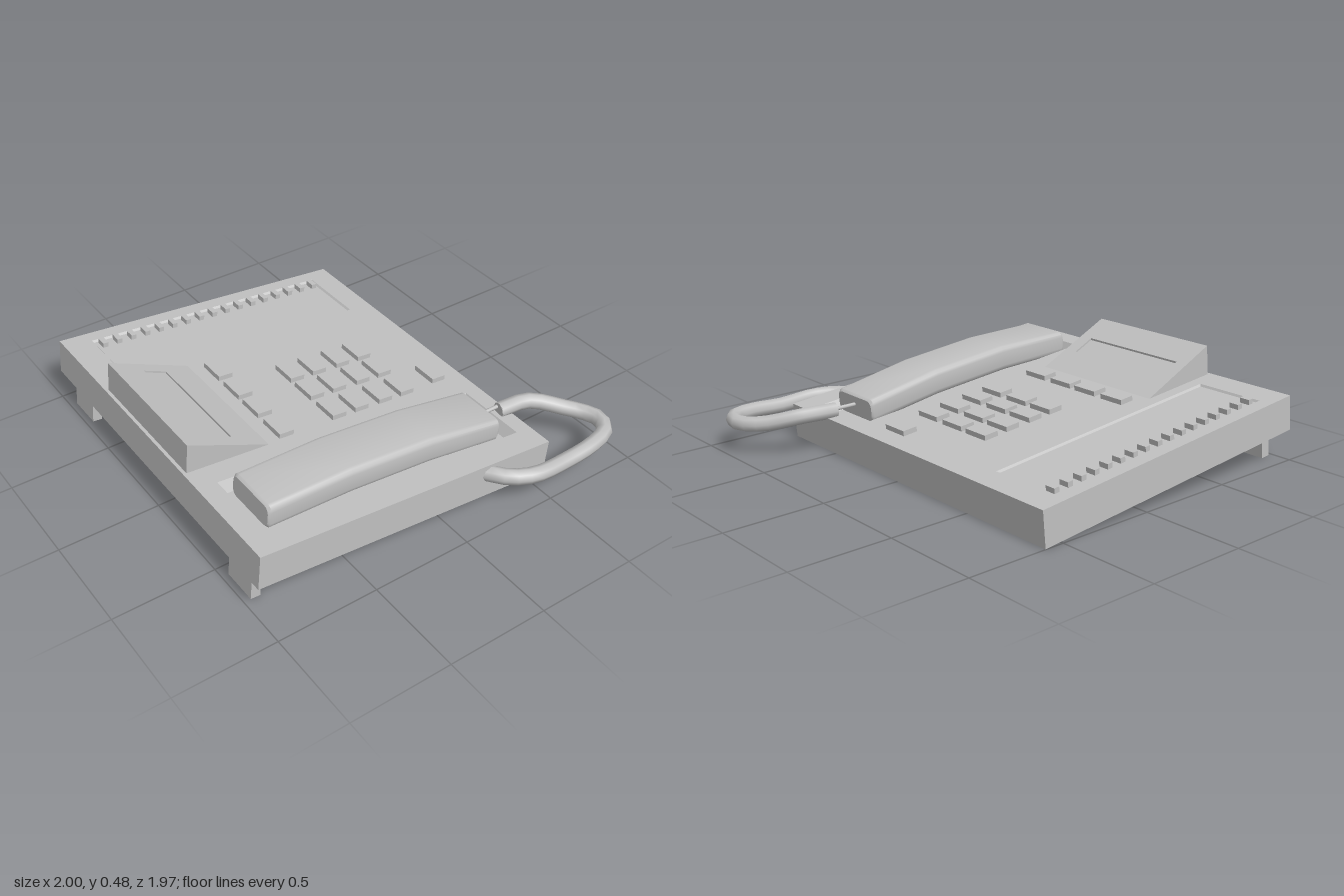
import * as THREE from 'three';
import { toCreasedNormals } from 'three/addons/utils/BufferGeometryUtils.js';

const TILT = 0.0975;   // the desk set leans up toward the front
const TOP = 0.175;     // thickness of the body
const LENGTH = 1.593;

// Skin a list of equal-sized rings of [x, y, z] points, with optional end caps
function loft(rings, capStart, capEnd, crease = 0.3) {
  const n = rings[0].length, index = [];
  for (let i = 0; i < rings.length - 1; i++) {
    for (let j = 0; j < n; j++) {
      const a = i * n + j, b = i * n + (j + 1) % n;
      index.push(a, b, b + n, a, b + n, a + n);
    }
  }
  const last = (rings.length - 1) * n;
  for (let j = 1; j < n - 1; j++) {
    if (capStart) index.push(0, j + 1, j);
    if (capEnd) index.push(last, last + j, last + j + 1);
  }
  const geo = new THREE.BufferGeometry();
  geo.setAttribute('position', new THREE.Float32BufferAttribute(rings.flat(2), 3));
  geo.setIndex(index);
  return toCreasedNormals(geo, crease);
}

// Rectangle ring; yBack and yFront may differ to make it slope
const rect = (x0, x1, z0, z1, yBack, yFront = yBack) =>
  [[x0, yFront, z1], [x1, yFront, z1], [x1, yBack, z0], [x0, yBack, z0]];

// Local depth of a point on the tilted top surface
const depthAt = (z) => (z + 0.615) / 0.995;

export function createModel() {
  const model = new THREE.Group();
  const grey = new THREE.MeshStandardMaterial({ color: 0xc0c0c0 });
  grey.name = 'plastic grey';

  const desk = new THREE.Group();
  desk.name = 'tiltedSet';
  desk.position.z = -0.598;
  desk.rotation.x = -TILT;
  model.add(desk);

  const add = (parent, name, geo, x = 0, y = 0, z = 0) => {
    const mesh = new THREE.Mesh(geo, grey);
    mesh.name = name;
    mesh.position.set(x, y, z);
    parent.add(mesh);
    return mesh;
  };

  // Body: a lower slab and an upper rim with openings for the two recesses
  const cradle = [0.34, 0.71, depthAt(-0.53), depthAt(0.87)];
  const panel = [-0.93, -0.57, depthAt(-0.49), depthAt(0.83)];
  const low = 0.118;
  add(desk, 'bodyBase', new THREE.BoxGeometry(1.84, low, LENGTH), -0.08, low / 2, LENGTH / 2);

  const outline = (path, x0, x1, z0, z1) => {
    path.moveTo(x0, -z0);
    path.lineTo(x1, -z0);
    path.lineTo(x1, -z1);
    path.lineTo(x0, -z1);
    path.closePath();
    return path;
  };
  const rim = outline(new THREE.Shape(), -1, 0.84, 0, LENGTH);
  rim.holes.push(outline(new THREE.Path(), ...cradle), outline(new THREE.Path(), ...panel));
  const rimGeo = new THREE.ExtrudeGeometry(rim, { depth: TOP - low, bevelEnabled: false });
  rimGeo.rotateX(-Math.PI / 2);
  add(desk, 'bodyTop', rimGeo, 0, low, 0);

  // Recesses with sloping walls
  const recess = (name, [x0, x1, z0, z1], inset, depth) => add(desk, name, loft([
    rect(x0, x1, z0, z1, TOP),
    rect(x0 + inset, x1 - inset, z0 + inset, z1 - inset, TOP - depth),
  ], false, true));
  recess('handsetCradle', cradle, 0.032, 0.05);
  recess('linePanel', panel, 0.008, 0.01);

  // Front feet
  for (const x of [-0.81, 0.65]) {
    add(desk, 'frontFoot', new THREE.BoxGeometry(0.18, 0.16, 0.048), x, -0.069, 1.535);
  }

  // Display wedge with a sunken screen on its slope
  const z0 = depthAt(0.53), z1 = 1.576, rise = 0.15;
  const slope = (z) => TOP + rise * (z - z0) / (z1 - z0);
  const s0 = 1.307, s1 = 1.423, sink = 0.01;
  add(desk, 'displayWedge', loft([
    rect(-0.51, 0.22, z0, z1, TOP - 0.005),
    rect(-0.51, 0.22, z0, z1, slope(z0), slope(z1)),
    rect(-0.445, 0.15, s0, s1, slope(s0), slope(s1)),
    rect(-0.445, 0.15, s0, s1, slope(s0) - sink, slope(s1) - sink),
  ], false, true, 0.1));

  // Keys
  const key = new THREE.BoxGeometry(0.138, 0.03, 0.077);
  const addKey = (name, x, z) => add(desk, name, key, x, TOP + 0.01, depthAt(z));
  const columns = [-0.212, -0.042, 0.14];
  for (const z of [-0.267, -0.137, 0.003, 0.132]) {
    for (const x of columns) addKey('keypadKey', x, z);
  }
  for (const x of [-0.392, ...columns]) addKey('functionKey', x, 0.427);
  addKey('hookKey', 0.126, -0.473);

  const lineKey = new THREE.BoxGeometry(0.052, 0.03, 0.028);
  for (let i = 0; i < 17; i++) {
    add(desk, 'lineKey', lineKey, -0.885, TOP, depthAt(-0.455 + i * 0.0778));
  }

  // Handset: rounded section swept along a shallow arch
  const section = (z, top, bottom, halfWidth, r) => {
    const ring = [];
    const h = (top - bottom) / 2, mid = (top + bottom) / 2;
    [[1, 1], [-1, 1], [-1, -1], [1, -1]].forEach(([sx, sy], q) => {
      for (let k = 0; k <= 3; k++) {
        const a = (q + k / 3) * Math.PI / 2;
        ring.push([sx * (halfWidth - r) + r * Math.cos(a), mid + sy * (h - r) + r * Math.sin(a), z]);
      }
    });
    return ring;
  };
  const h0 = 0.165, h1 = 1.448;
  const stations = [
    [h0, 0.24, 0.14, 0.136], [h0 + 0.012, 0.25, 0.13, 0.143],
    [0.58, 0.285, 0.155, 0.143], [1.02, 0.286, 0.155, 0.143],
    [h1 - 0.012, 0.252, 0.13, 0.143], [h1, 0.242, 0.14, 0.136],
  ];
  add(desk, 'handset', loft(stations.map((s) => section(...s, 0.03)), true, true, 0.7), 0.532, 0, 0);

  // Cord looping from the handset round to the side of the body
  const path = new THREE.CatmullRomCurve3([
    [0.80, 0.155, -0.235], [0.90, 0.155, -0.31], [0.955, 0.15, -0.42], [0.957, 0.14, -0.62],
    [0.95, 0.15, -0.79], [0.915, 0.155, -0.90], [0.84, 0.155, -0.945], [0.765, 0.155, -0.925],
    [0.685, 0.165, -0.86], [0.575, 0.2, -0.72], [0.55, 0.2, -0.555],
  ].map((p) => new THREE.Vector3(...p)), false, 'centripetal');
  add(model, 'cord', new THREE.TubeGeometry(path, 24, 0.039, 8));
  const end = add(model, 'cordEnd', new THREE.CircleGeometry(0.039, 8), 0.55, 0.2, -0.555);
  end.rotation.y = -0.1;

  const plug = new THREE.CylinderGeometry(0.01, 0.01, 0.12, 8);
  plug.rotateX(Math.PI / 2);
  add(model, 'cordPlug', plug, 0.535, 0.212, -0.5);

  return model;
}
